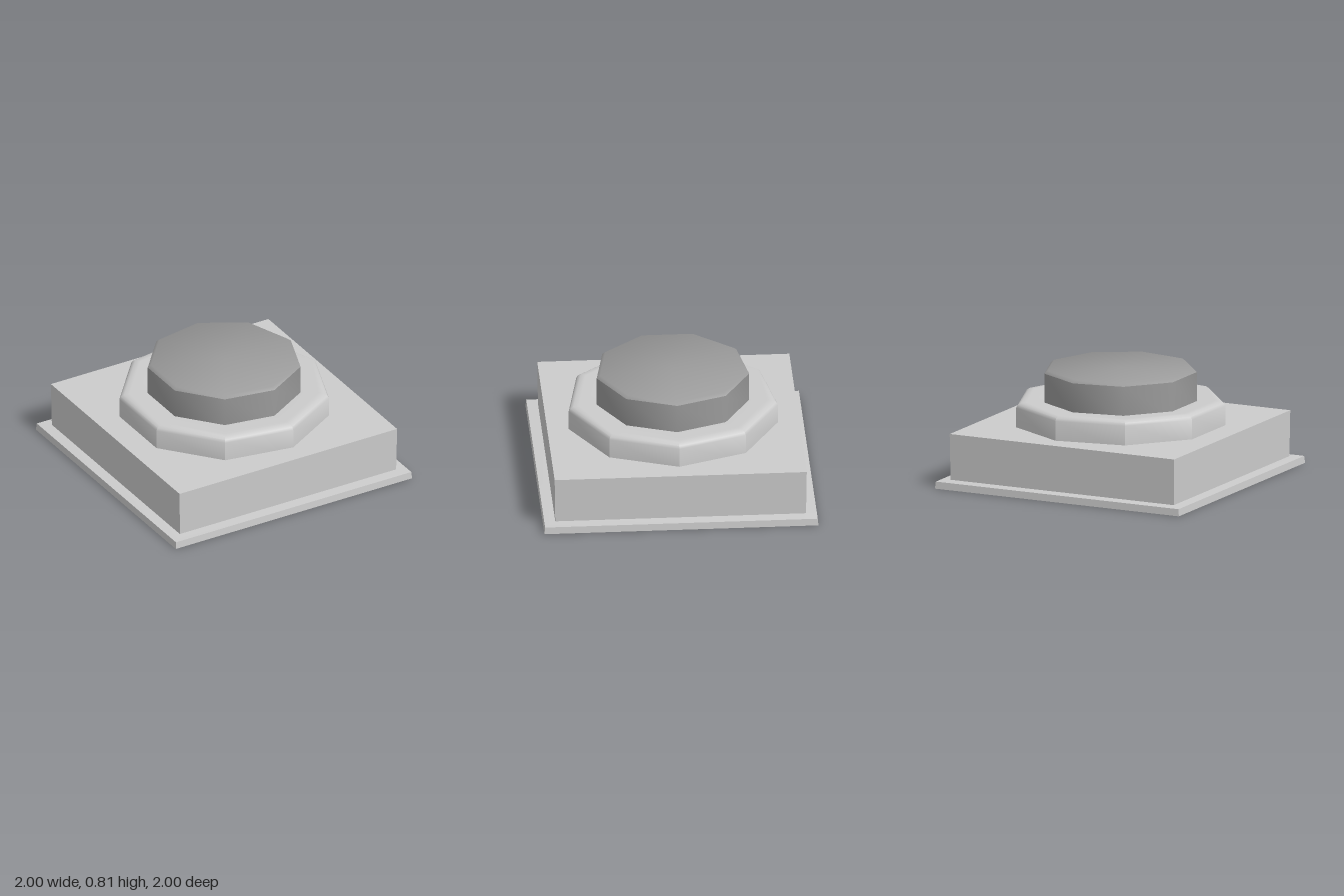
import * as THREE from 'three';
import { toCreasedNormals } from 'three/addons/utils/BufferGeometryUtils.js';

// Revolve a [radius, height] profile with few sides; edges sharper than crease stay hard
function turned(name, profile, sides, startAngle, crease, color) {
  const points = profile.map(([r, y]) => new THREE.Vector2(r, y));
  const geometry = toCreasedNormals(new THREE.LatheGeometry(points, sides, startAngle), crease);
  const material = new THREE.MeshStandardMaterial({ color, side: THREE.DoubleSide });
  const mesh = new THREE.Mesh(geometry, material);
  mesh.name = name;
  return mesh;
}

export function createModel() {
  const group = new THREE.Group();
  group.name = 'pushButton';

  // Square housing: open-bottomed shell with a thin flange (half-widths turned into corner radii)
  const housing = [[1, 0], [0.995, 0.052], [0.915, 0.058], [0.92, 0.4], [0, 0.4]]
    .map(([half, y]) => [half * Math.SQRT2, y]);
  group.add(turned('housing', housing, 4, Math.PI / 4, 0.3, 0xcccccc));

  // Nine-sided collar with rounded shoulder, open underneath and reaching just through the housing top
  const collar = [[0.775, 0.365], [0.775, 0.545], [0.763, 0.565], [0.74, 0.579], [0.7, 0.581], [0.53, 0.572]];
  group.add(turned('collar', collar, 9, Math.PI / 2, 0.6, 0xd8d8d8));

  // Nine-sided plunger with smooth sides and a bevelled top edge
  const plunger = [[0.565, 0.54], [0.565, 0.79], [0.54, 0.81], [0, 0.81]];
  group.add(turned('plunger', plunger, 9, Math.PI / 2, 0.73, 0x9a9a9a));

  return group;
}
